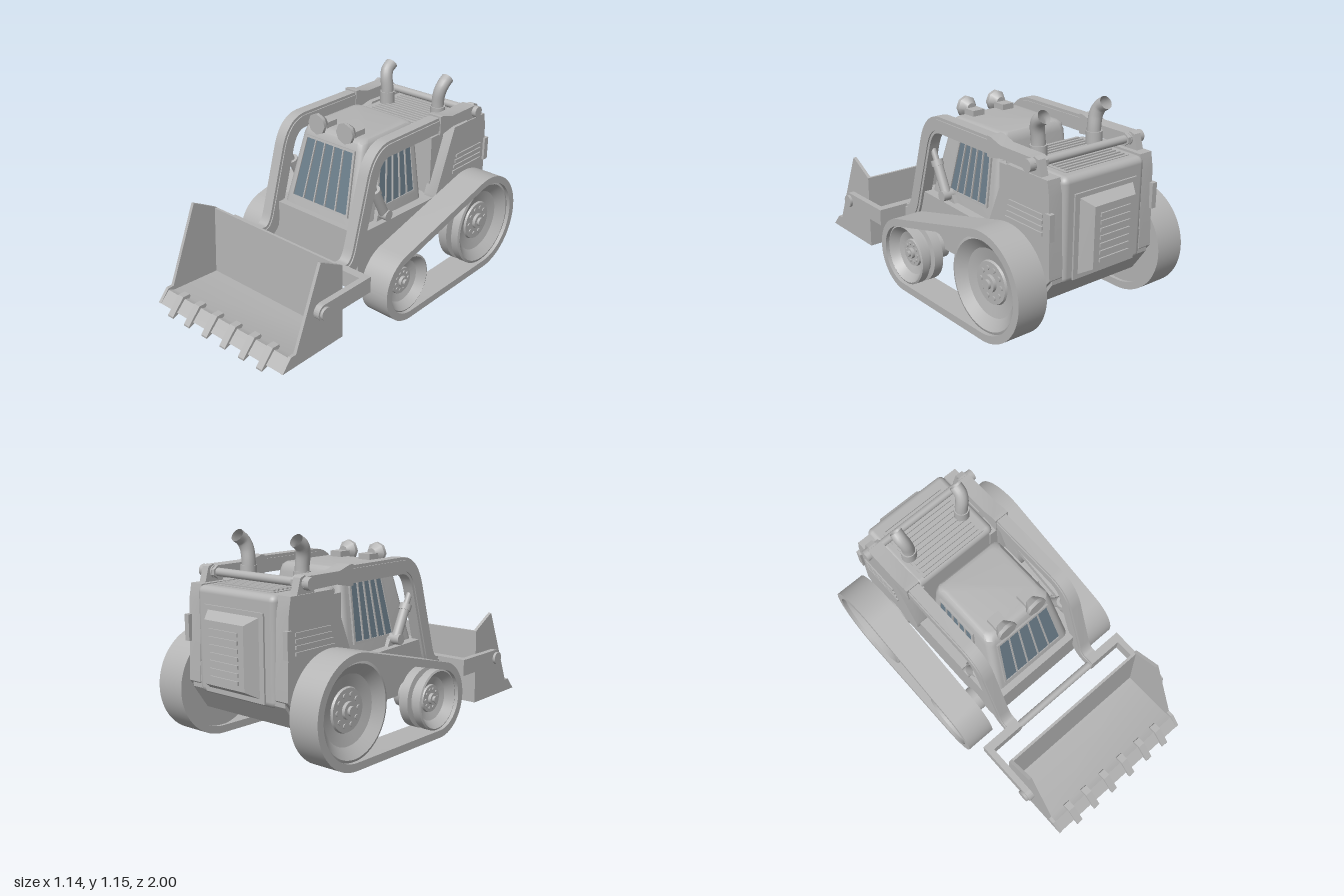
import * as THREE from 'three';
import { toCreasedNormals } from 'three/addons/utils/BufferGeometryUtils.js';
import { RoundedBoxGeometry } from 'three/addons/geometries/RoundedBoxGeometry.js';

const paint = new THREE.MeshStandardMaterial({ color: 0xb4b4b4 });
paint.name = 'greyPaint';
const pipePaint = new THREE.MeshStandardMaterial({ color: 0xb4b4b4, side: THREE.DoubleSide });
pipePaint.name = 'greyPipe';
const glass = new THREE.MeshStandardMaterial({ color: 0x6c7e8b });
glass.name = 'blueGreyGlass';

const V = (x, y, z) => new THREE.Vector3(x, y, z);
const both = (fn) => [1, -1].forEach(fn);

export function createModel() {
  const root = new THREE.Group();
  root.name = 'trackedDigger';

  const add = (name, geo, parent = root, mat = paint) => {
    const m = new THREE.Mesh(geo, mat);
    m.name = name;
    parent.add(m);
    return m;
  };
  // box given by its limits
  const box = (name, x0, x1, y0, y1, z0, z1) => {
    const g = new THREE.BoxGeometry(Math.abs(x1 - x0), y1 - y0, z1 - z0);
    return add(name, g.translate((x0 + x1) / 2, (y0 + y1) / 2, (z0 + z1) / 2));
  };
  // side profile in (z, y), as points or a shape, extruded from x0 to x1
  const slab = (name, profile, x0, x1) => {
    const shape = Array.isArray(profile) ? new THREE.Shape(profile.map((p) => new THREE.Vector2(...p))) : profile;
    const g = new THREE.ExtrudeGeometry(shape, { depth: Math.abs(x1 - x0), bevelEnabled: false, curveSegments: 32 });
    g.rotateY(-Math.PI / 2).translate(Math.max(x0, x1), 0, 0);
    return add(name, toCreasedNormals(g, 0.5));
  };
  // cylinder between two points
  const rod = (name, a, b, ra, rb = ra, sides = 24) => {
    const m = add(name, new THREE.CylinderGeometry(rb, ra, a.distanceTo(b), sides));
    m.position.copy(a).add(b).multiplyScalar(0.5);
    m.quaternion.setFromUnitVectors(V(0, 1, 0), b.clone().sub(a).normalize());
    return m;
  };

  // ---- tracks and wheels ----
  const wheels = [{ z: -0.65, y: 0.305, R: 0.295 }, { z: 0.06, y: 0.21, R: 0.21 }];
  const beltLoop = (path, t) => {
    const [a, b] = wheels;
    const phi = Math.atan2(b.y - a.y, b.z - a.z);
    const beta = Math.acos((a.R - b.R) / Math.hypot(b.z - a.z, b.y - a.y));
    path.absarc(a.z, a.y, a.R - t, phi + beta, phi - beta + 2 * Math.PI, false);
    path.absarc(b.z, b.y, b.R - t, phi - beta, phi + beta, false);
    path.closePath();
    return path;
  };
  both((s) => {
    const belt = beltLoop(new THREE.Shape(), 0);
    belt.holes.push(beltLoop(new THREE.Path(), 0.042));
    slab('track', belt, s * 0.39, s * 0.568);
    for (const { z, y, R } of wheels) {
      const r = R - 0.04, k = r / 0.25;
      const profile = [[0, -0.07], [1, -0.07], [1, -0.015], [0.82, -0.01], [0.82, 0.015], [1, 0.02], [1, 0.065],
        [0.94, 0.07], [0.72, 0.025], [0.46, 0.01], [0.44, 0.022], [0, 0.022]];
      const g = new THREE.LatheGeometry(profile.map((p) => new THREE.Vector2(p[0] * r, p[1])), 48);
      const wheel = add('wheel', toCreasedNormals(g, 0.4));
      wheel.rotation.z = -s * Math.PI / 2;
      wheel.position.set(s * 0.48, y, z);
      rod('hub', V(s * 0.48, y, z), V(s * 0.52, y, z), 0.045 * k);
      rod('hubCap', V(s * 0.52, y, z), V(s * 0.535, y, z), 0.025 * k);
      for (let i = 0; i < 10; i++) {
        const c = V(s * 0.5, y + 0.078 * k * Math.sin(i * Math.PI / 5), z + 0.078 * k * Math.cos(i * Math.PI / 5));
        rod('wheelBolt', c, c.clone().add(V(s * 0.008, 0, 0)), 0.013 * k, 0.013 * k, 10);
      }
      rod('axle', V(s * 0.3, y, z), V(s * 0.42, y, z), R * 0.36);
    }
  });

  // ---- chassis, engine bay and rear ----
  slab('chassis', [[0.23, 0.5], [0.23, 0.25], [0.19, 0.21], [-0.82, 0.21], [-0.91, 0.34], [-0.91, 0.48], [-0.4, 0.48]], -0.33, 0.33);
  add('engineHood', new RoundedBoxGeometry(0.55, 0.56, 0.46, 3, 0.035)).position.set(0, 0.6, -0.69);
  box('grilleBase', -0.215, 0.215, 0.875, 0.884, -0.86, -0.48);
  for (let i = 0; i < 12; i++) box('grilleSlat', -0.2, 0.2, 0.884, 0.892, -0.845 + i * 0.03, -0.832 + i * 0.03);
  box('rearPanelFrame', -0.21, 0.21, 0.34, 0.79, -0.93, -0.9);
  const panel = new THREE.BoxGeometry(0.37, 0.41, 0.07).translate(0, 0, -0.035);
  const pp = panel.attributes.position;
  for (let i = 0; i < pp.count; i++) {
    if (pp.getZ(i) < -0.05) pp.setXY(i, pp.getX(i) * 0.74, pp.getY(i) * 0.8);
  }
  panel.computeVertexNormals();
  add('rearPanel', panel).position.set(0, 0.565, -0.922);
  for (let i = 0; i < 7; i++) box('rearLouvre', -0.1, 0.1, 0.43 + i * 0.04, 0.45 + i * 0.04, -1, -0.99);

  both((s) => {
    slab('sideSupport', [[-0.43, 0.45], [-0.43, 0.5], [-0.585, 0.88], [-0.885, 0.88], [-0.9, 0.8], [-0.915, 0.37], [-0.86, 0.3], [-0.6, 0.3]], s * 0.27, s * 0.352);
    slab('armMount', [[-0.7, 0.86], [-0.74, 0.94], [-0.78, 0.97], [-0.81, 0.96], [-0.84, 0.86]], s * 0.3, s * 0.345);
    for (let i = 0; i < 4; i++) box('sideLouvre', s * 0.35, s * 0.36, 0.59 + i * 0.032, 0.608 + i * 0.032, -0.86, -0.58 - i * 0.01);
    box('rearLatch', s * 0.335, s * 0.366, 0.58, 0.72, -0.925, -0.89);
    box('sideFiller', s * 0.24, s * 0.29, 0.48, 0.84, -0.56, -0.45);
    // exhaust stack
    const bend = new THREE.CatmullRomCurve3([V(s * 0.19, 0.86, -0.635), V(s * 0.19, 0.98, -0.63), V(s * 0.2, 1.05, -0.632),
      V(s * 0.208, 1.09, -0.65), V(s * 0.208, 1.118, -0.69)]);
    add('exhaustPipe', new THREE.TubeGeometry(bend, 20, 0.037, 16), root, pipePaint);
    rod('exhaustCollar', V(s * 0.19, 0.86, -0.635), V(s * 0.19, 0.96, -0.632), 0.044);
  });

  // ---- cab: rounded rectangles lofted upwards ----
  const sections = [[0.47, 0.276, -0.4, 0.198], [0.9, 0.225, -0.385, 0.08], [0.935, 0.216, -0.375, 0.066], [0.95, 0.2, -0.36, 0.045], [0.953, 0.18, -0.34, 0.025]];
  const pos = [], idx = [], n = 24, rc = 0.04;
  for (const [y, hx, zb, zf] of sections) {
    for (let i = 0; i < n; i++) {
      const q = Math.floor(i / 6), a = (q + (i % 6) / 5) * Math.PI / 2;
      const cx = (q === 0 || q === 3 ? 1 : -1) * (hx - rc), cz = q < 2 ? zf - rc : zb + rc;
      pos.push(cx + rc * Math.cos(a), y, cz + rc * Math.sin(a));
    }
  }
  for (let j = 0; j < sections.length - 1; j++) {
    for (let i = 0; i < n; i++) {
      const a = j * n + i, b = j * n + (i + 1) % n;
      idx.push(a, a + n, b, b, a + n, b + n);
    }
  }
  const top = (sections.length - 1) * n;
  for (let i = 1; i < n - 1; i++) idx.push(top, top + i + 1, top + i);
  const cab = new THREE.BufferGeometry();
  cab.setAttribute('position', new THREE.Float32BufferAttribute(pos, 3));
  cab.setIndex(idx);
  add('cab', toCreasedNormals(cab, 0.6));

  // barred window in its own plane: bottom and top x limits, half height h
  const windowPane = (name, b0, b1, t0, t1, h, bars) => {
    const g = new THREE.Group();
    g.name = name;
    root.add(g);
    const quad = (o) => [[b0 - o, -h - o], [b1 + o, -h - o], [t1 + o, h + o], [t0 - o, h + o]].map((p) => new THREE.Vector2(...p));
    const ext = (shape, depth) => new THREE.ExtrudeGeometry(shape, { depth, bevelEnabled: false });
    add('glass', ext(new THREE.Shape(quad(0)), 0.006), g, glass);
    const frame = new THREE.Shape(quad(0.013));
    frame.holes.push(new THREE.Path(quad(0)));
    add('windowFrame', ext(frame, 0.012), g);
    for (let i = 1; i <= bars; i++) {
      const t = i / (bars + 1), xb = b0 + (b1 - b0) * t, xt = t0 + (t1 - t0) * t;
      const bar = add('windowBar', new THREE.BoxGeometry(0.008, Math.hypot(2 * h, xt - xb), 0.014), g);
      bar.position.set((xb + xt) / 2, 0, 0.007);
      bar.rotation.z = Math.atan2(xb - xt, 2 * h);
    }
    return g;
  };
  const front = windowPane('frontWindow', -0.2, 0.2, -0.168, 0.168, 0.172, 4);
  front.position.set(0, 0.72, 0.13);
  front.rotation.x = -0.268;
  both((s) => {
    const w = s > 0 ? windowPane('leftWindow', 0, 0.315, 0.06, 0.31, 0.163, 4)
      : windowPane('rightWindow', -0.315, 0, -0.31, -0.06, 0.163, 4);
    w.position.set(s * 0.2465, 0.718, 0);
    w.rotation.set(-0.118, s * Math.PI / 2, 0, 'YXZ');
    // roof lamps
    rod('lampShell', V(s * 0.103, 0.98, 0.03), V(s * 0.103, 0.98, 0.07), 0.03, 0.061, 8);
    rod('lampRim', V(s * 0.103, 0.98, 0.07), V(s * 0.103, 0.98, 0.09), 0.061, 0.061, 8);
    box('lampBracket', s * 0.065, s * 0.141, 0.93, 0.985, -0.035, 0.045);
  });

  // ---- lift arms ----
  const armPath = new THREE.Path();
  armPath.moveTo(-0.46, 0.935).lineTo(0, 0.935).quadraticCurveTo(0.1, 0.93, 0.138, 0.8)
    .lineTo(0.245, 0.43).quadraticCurveTo(0.275, 0.328, 0.34, 0.328).lineTo(0.4, 0.328);
  const band = (w) => {
    const p = armPath.getPoints(12), left = [], right = [];
    p.forEach((c, i) => {
      const d = p[Math.min(i + 1, p.length - 1)].clone().sub(p[Math.max(i - 1, 0)]).normalize();
      left.push([c.x - d.y * w, c.y + d.x * w]);
      right.unshift([c.x + d.y * w, c.y - d.x * w]);
    });
    return [...left, ...right];
  };
  both((s) => {
    slab('liftArm', band(0.046), s * 0.28, s * 0.345);
    slab('armRib', band(0.03), s * 0.274, s * 0.352);
    slab('armBracket', [[-0.435, 0.99], [-0.46, 0.99], [-0.54, 0.965], [-0.77, 0.965], [-0.8, 0.945], [-0.8, 0.915], [-0.77, 0.895], [-0.56, 0.9], [-0.46, 0.88], [-0.435, 0.88]], s * 0.27, s * 0.358);
    rod('armPivot', V(s * 0.29, 0.93, -0.77), V(s * 0.385, 0.93, -0.77), 0.033);
    box('armElbow', s * 0.28, s * 0.522, 0.282, 0.375, 0.35, 0.4);
    const fork = new THREE.Shape();
    fork.moveTo(0.36, 0.282).lineTo(0.7, 0.282).absarc(0.7, 0.328, 0.046, -Math.PI / 2, Math.PI / 2, false).lineTo(0.36, 0.375);
    slab('bucketFork', fork, s * 0.486, s * 0.522);
    rod('bucketPin', V(s * 0.48, 0.325, 0.7), V(s * 0.537, 0.325, 0.7), 0.036);
    // lift cylinder
    rod('liftCylinder', V(s * 0.31, 0.53, -0.01), V(s * 0.31, 0.69, 0.07), 0.028);
    rod('liftCollar', V(s * 0.31, 0.68, 0.065), V(s * 0.31, 0.71, 0.08), 0.034);
    rod('liftRod', V(s * 0.31, 0.69, 0.07), V(s * 0.31, 0.8, 0.13), 0.017);
    rod('liftPin', V(s * 0.27, 0.53, -0.01), V(s * 0.345, 0.53, -0.01), 0.03);
    slab('liftMount', [[0.04, 0.48], [0.02, 0.55], [-0.03, 0.55], [-0.07, 0.48]], s * 0.25, s * 0.295);
  });
  rod('rearCrossTube', V(-0.3, 0.93, -0.77), V(0.3, 0.93, -0.77), 0.022);
  rod('frontCrossTube', V(-0.3, 0.328, 0.38), V(0.3, 0.328, 0.38), 0.022);

  // ---- bucket ----
  slab('bucketShell', [[0.53, 0.08], [0.97, 0.08], [0.91, 0.14], [0.87, 0.125], [0.565, 0.11], [0.545, 0.51], [0.53, 0.51]], -0.485, 0.485);
  both((s) => slab('bucketSide', [[0.53, 0.08], [0.53, 0.51], [0.65, 0.575], [0.69, 0.595], [0.705, 0.56], [0.875, 0.15], [0.91, 0.15], [0.972, 0.08]], s * 0.468, s * 0.487));
  for (const x of [-0.35, -0.215, -0.072, 0.072, 0.214, 0.347]) {
    slab('bucketTooth', [[0.87, 0.14], [0.875, 0.155], [0.92, 0.155], [1, 0.065], [1, 0.055], [0.93, 0.08]], x - 0.021, x + 0.021);
  }
  return root;
}
